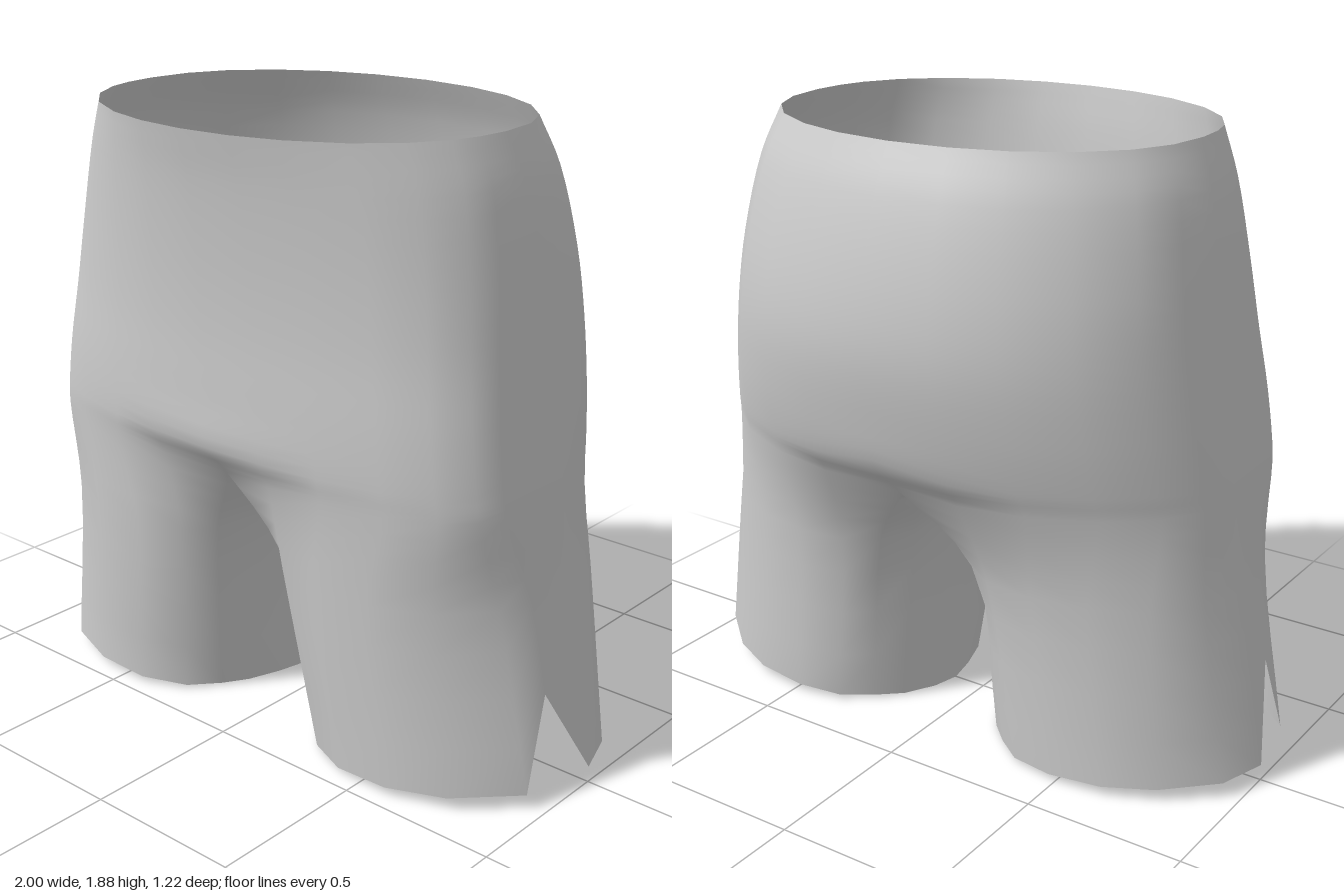
import * as THREE from 'three';
import { mergeVertices } from 'three/addons/utils/BufferGeometryUtils.js';

// Body rings: height, half width, front z, back z, widest z, front roundness, centre dip
const rings = [
  [1.88, 0.68, 0.61, -0.46, 0.07, 0.88, 0],
  [1.74, 0.73, 0.585, -0.525, 0.04, 0.75, 0],
  [1.5, 0.775, 0.56, -0.59, 0.01, 0.58, 0],
  [1.3, 0.803, 0.55, -0.61, 0, 0.48, 0],
  [1.1, 0.835, 0.55, -0.585, 0, 0.42, 0],
  [0.95, 0.857, 0.546, -0.545, 0, 0.4, 0],
  [0.88, 0.866, 0.54, -0.52, 0, 0.4, 0.08],
];
// Column angles from front centre round the side to back centre
const angles = [0, 14, 28, 44, 59, 72, 81, 90, 103, 117, 133, 149, 164, 180];
const OUTER = angles.length;
// Crotch seam from back to front: z, y
const seam = [[-0.36, 0.835], [-0.18, 0.82], [0, 0.815], [0.18, 0.815], [0.36, 0.825]];
// Leg loops: x, z, in the same column order, with the inner thigh last
const thigh = [
  [0.13, 0.37], [0.21, 0.45], [0.36, 0.492], [0.55, 0.48], [0.72, 0.405], [0.85, 0.265], [0.885, 0.16],
  [0.908, 0], [0.87, -0.16], [0.76, -0.28], [0.6, -0.36], [0.43, -0.39], [0.27, -0.375], [0.17, -0.31],
  [0.11, -0.22], [0.065, -0.11], [0.05, 0], [0.065, 0.12], [0.095, 0.25],
];
const hem = [
  [0.21, 0.29], [0.28, 0.38], [0.42, 0.445], [0.6, 0.45], [0.78, 0.39], [0.95, 0.24], [0.93, 0.14],
  [1, 0], [0.95, -0.15], [0.8, -0.28], [0.65, -0.345], [0.48, -0.36], [0.34, -0.33], [0.25, -0.26],
  [0.18, -0.19], [0.13, -0.09], [0.11, 0], [0.13, 0.1], [0.165, 0.21],
];
const NOTCH = 6; // column where the side slit is cut
const COLS = hem.length;
const SUB = 4;
const CROTCH_ROW = (rings.length - 1) * SUB;
const ROWS = CROTCH_ROW + 2 * SUB;

function bodyPoint([y, a, zf, zb, zm, q, dip], degrees) {
  const t = THREE.MathUtils.degToRad(degrees);
  const s = Math.sin(t), c = Math.cos(t);
  const x = degrees % 180 === 0 ? 0 : a * s;
  const z = c >= 0 ? zm + (zf - zm) * Math.pow(c, q) : zm + (zb - zm) * Math.pow(-c, 0.9);
  // The last ring tucks under and sags towards the crotch
  const tuck = dip * Math.exp(-((x / 0.2) ** 2));
  return new THREE.Vector3(x, y - 0.4 * tuck, z - Math.sign(c) * tuck);
}

// One vertical column of the cloth; inner thigh columns start at the crotch seam
function column(i) {
  const outer = i < OUTER;
  const keys = outer
    ? rings.map((r) => bodyPoint(r, angles[i]))
    : [new THREE.Vector3(0, seam[i - OUTER][1], seam[i - OUTER][0])];
  const hemY = i === NOTCH ? 0.32 : 0.05 * (hem[i][0] - 0.11) / 0.89;
  keys.push(new THREE.Vector3(thigh[i][0], 0.6, thigh[i][1]));
  keys.push(new THREE.Vector3(hem[i][0], Math.max(0, hemY), hem[i][1]));
  const points = new THREE.CatmullRomCurve3(keys).getPoints((keys.length - 1) * SUB);
  const first = outer ? 0 : CROTCH_ROW;
  const centred = !outer || i === 0 || i === OUTER - 1;
  points.forEach((p, k) => {
    p.x = centred && first + k <= CROTCH_ROW ? 0 : Math.max(0, p.x);
  });
  return (row) => points[row - first];
}

function shortsGeometry() {
  const columns = hem.map((_, i) => column(i));
  const pos = [];
  const triangle = (a, b, c, side) => {
    for (const p of side > 0 ? [a, b, c] : [a, c, b]) pos.push(side * p.x, p.y, p.z);
  };
  for (const side of [1, -1]) {
    for (let i = 0; i < COLS; i++) {
      const left = columns[i], right = columns[(i + 1) % COLS];
      const start = i < OUTER - 1 ? 0 : CROTCH_ROW;
      for (let r = start; r < ROWS; r++) {
        const a = left(r), b = right(r), c = left(r + 1), d = right(r + 1);
        triangle(a, c, b, side);
        triangle(b, c, d, side);
      }
    }
  }
  const soup = new THREE.BufferGeometry();
  soup.setAttribute('position', new THREE.Float32BufferAttribute(pos, 3));
  // Welding the halves at the centre gives smooth shading across the seam
  const geometry = mergeVertices(soup, 1e-4);
  geometry.computeVertexNormals();
  return geometry;
}

export function createModel() {
  const group = new THREE.Group();
  group.name = 'shorts';
  const cloth = new THREE.Mesh(
    shortsGeometry(),
    new THREE.MeshStandardMaterial({ color: 0xcccccc, side: THREE.DoubleSide })
  );
  cloth.name = 'shortsCloth';
  group.add(cloth);
  return group;
}
